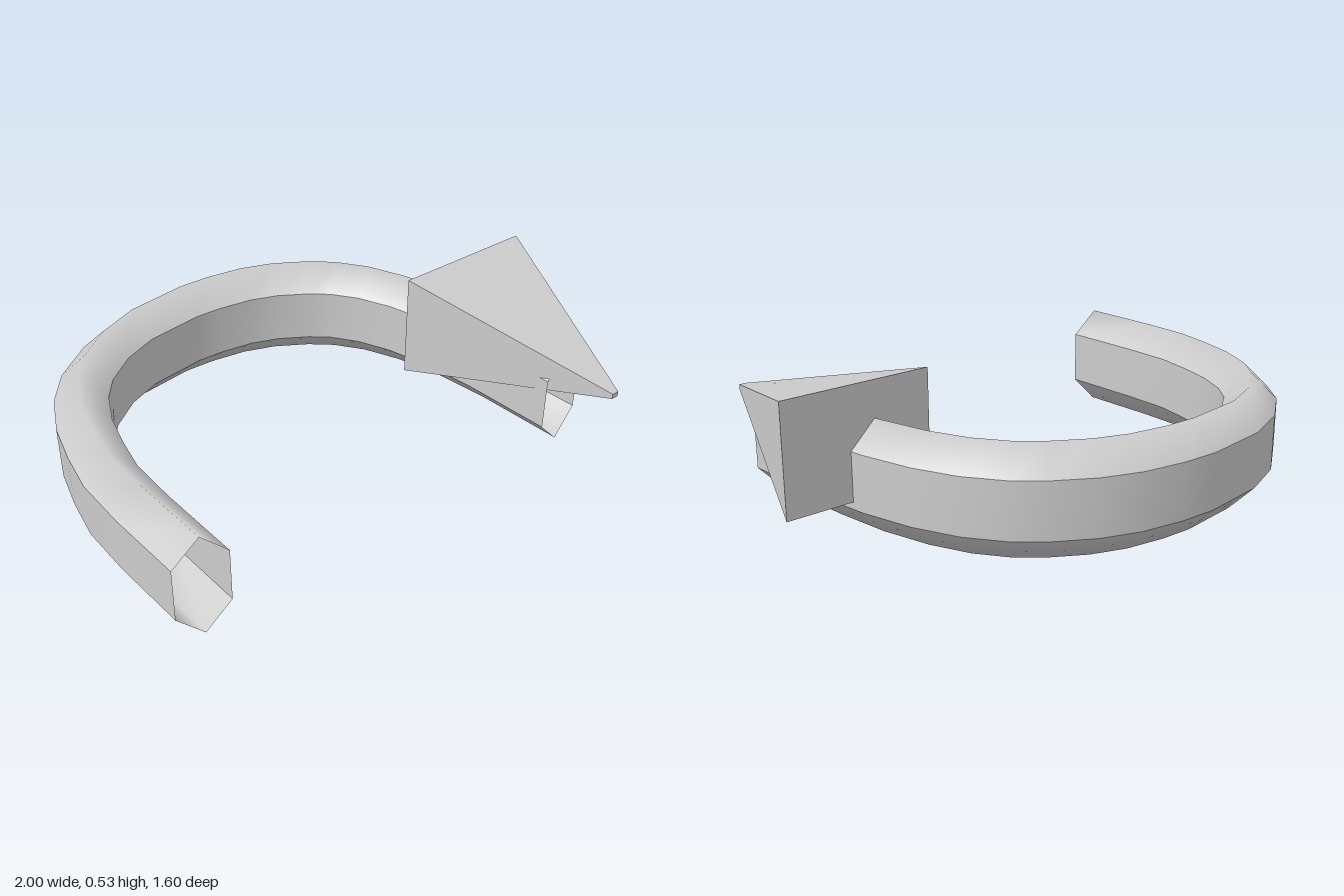
import * as THREE from 'three';

// Centre line of the bent bar on the ground plane, as [x, z]
const PATH = [
  [-0.905, 0.51], [-0.905, 0.2], [-0.895, 0], [-0.86, -0.15], [-0.815, -0.295],
  [-0.745, -0.43], [-0.66, -0.53], [-0.52, -0.625], [-0.36, -0.683], [-0.12, -0.705],
  [0, -0.695], [0.145, -0.665], [0.265, -0.615], [0.385, -0.535], [0.465, -0.46],
  [0.54, -0.35], [0.6, -0.205], [0.645, -0.02], [0.67, 0.2], [0.685, 0.56],
];
const START_DIR = [0.2, -0.98];
const END_DIR = [0.08, 1];

// Bands of the six-sided section as [outward offset, y]; only the ridges are smooth
const W = 0.096;
const BANDS = {
  outerWall: [[W, 0.1], [W, 0.305]],
  topRidge: [[W, 0.305], [0, 0.4], [-W, 0.305]],
  innerWall: [[-W, 0.305], [-W, 0.1]],
  bottomRidge: [[-W, 0.1], [0, 0], [W, 0.1]],
};

// Unit direction of the path at point i
function direction(i) {
  let d;
  if (i === 0) d = START_DIR;
  else if (i === PATH.length - 1) d = END_DIR;
  else d = [PATH[i + 1][0] - PATH[i - 1][0], PATH[i + 1][1] - PATH[i - 1][1]];
  const length = Math.hypot(d[0], d[1]);
  return [d[0] / length, d[1] / length];
}

// Sweep one band of the section along the path
function sweepBand(band) {
  const positions = [];
  const index = [];
  const n = band.length;
  PATH.forEach(([x, z], i) => {
    const [tx, tz] = direction(i);
    for (const [u, y] of band) positions.push(x + tz * u, y, z - tx * u);
    if (i === PATH.length - 1) return;
    for (let j = 0; j < n - 1; j++) {
      const a = i * n + j;
      index.push(a, a + 1, a + n, a + 1, a + n + 1, a + n);
    }
  });
  const geometry = new THREE.BufferGeometry();
  geometry.setAttribute('position', new THREE.Float32BufferAttribute(positions, 3));
  geometry.setIndex(index);
  geometry.computeVertexNormals();
  return geometry;
}

// Box whose front face is shrunk almost to a point
function arrowHeadGeometry() {
  const geometry = new THREE.BoxGeometry(0.565, 0.405, 0.788).toNonIndexed();
  const p = geometry.attributes.position;
  for (let i = 0; i < p.count; i++) {
    if (p.getZ(i) > 0) p.setXY(i, p.getX(i) * 0.05, p.getY(i) * 0.05);
  }
  geometry.computeVertexNormals();
  return geometry;
}

export function createModel() {
  const model = new THREE.Group();
  model.name = 'curvedArrow';

  // Open-ended bent bar
  const shaft = new THREE.Group();
  shaft.name = 'shaft';
  const shaftMaterial = new THREE.MeshStandardMaterial({ color: 0xcccccc, side: THREE.DoubleSide });
  for (const [name, band] of Object.entries(BANDS)) {
    const mesh = new THREE.Mesh(sweepBand(band), shaftMaterial);
    mesh.name = name;
    shaft.add(mesh);
  }
  model.add(shaft);

  // Four-sided pointed head, turned slightly with the bar
  const head = new THREE.Mesh(
    arrowHeadGeometry(),
    new THREE.MeshStandardMaterial({ color: 0xcccccc, flatShading: true }),
  );
  head.name = 'arrowHead';
  head.position.set(0.696, 0.329, 0.401);
  head.rotation.y = -0.042;
  model.add(head);

  return model;
}
